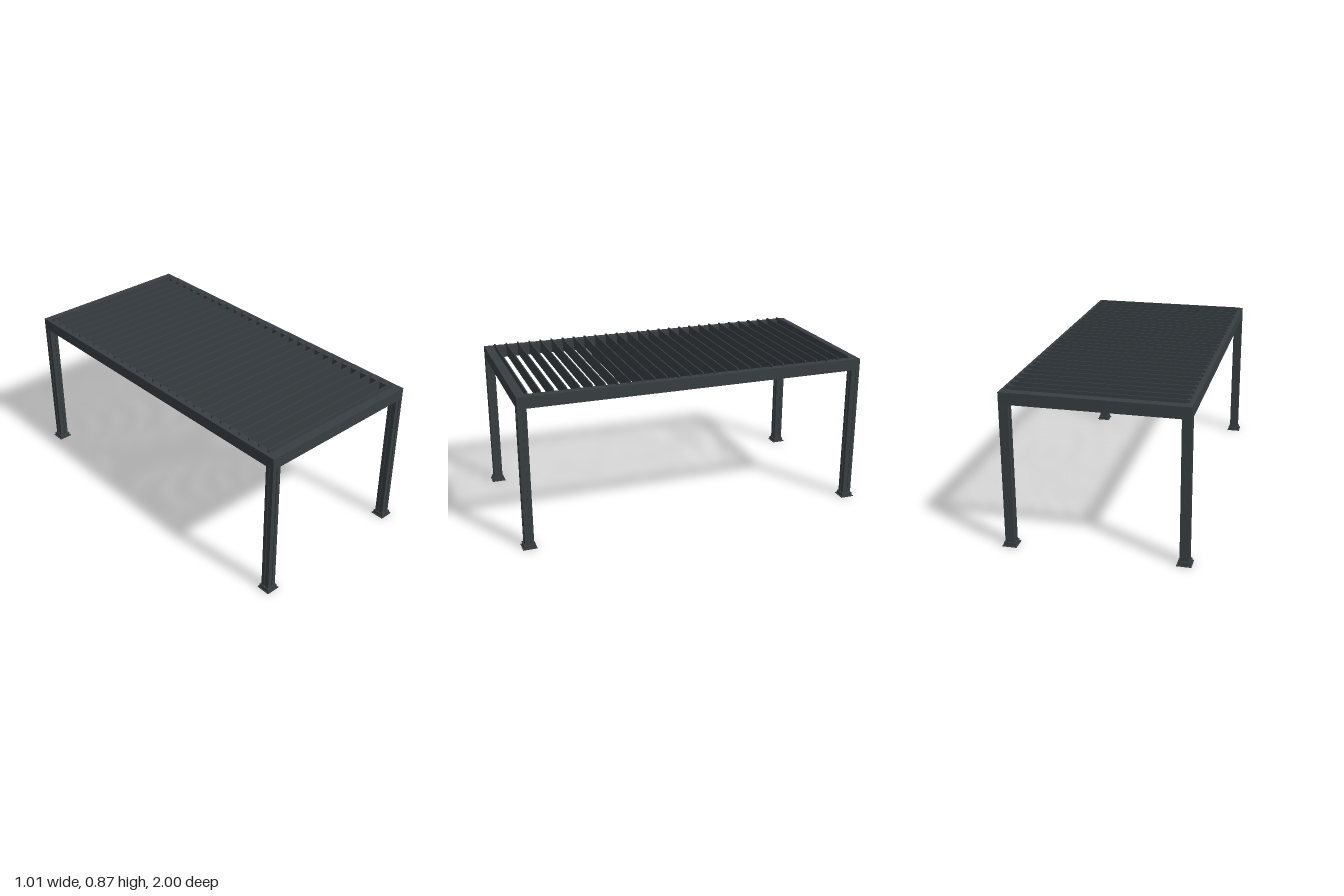
import * as THREE from 'three';

const frameMat = new THREE.MeshStandardMaterial({ color: 0x383e42 });

function box(name, w, h, d, x, y, z) {
  const mesh = new THREE.Mesh(new THREE.BoxGeometry(w, h, d), frameMat);
  mesh.name = name;
  mesh.position.set(x, y, z);
  return mesh;
}

// Square section with a narrow slot down the middle of each face
function slottedSquare(half, slot, depth) {
  const side = [[-half, -half], [-slot, -half], [-slot, depth - half], [slot, depth - half], [slot, -half]];
  const points = [];
  for (let i = 0; i < 4; i++) {
    for (const [x, y] of side) {
      points.push(new THREE.Vector2(x, y).rotateAround(new THREE.Vector2(), i * Math.PI / 2));
    }
  }
  return new THREE.Shape(points);
}

// Upright blade with rounded upper corners
function bladeShape(halfWidth, bottom, top, r) {
  const s = new THREE.Shape();
  s.moveTo(-halfWidth, bottom);
  s.lineTo(halfWidth, bottom);
  s.lineTo(halfWidth, top - r);
  s.quadraticCurveTo(halfWidth, top, halfWidth - r, top);
  s.lineTo(-halfWidth + r, top);
  s.quadraticCurveTo(-halfWidth, top, -halfWidth, top - r);
  s.closePath();
  return s;
}

export function createModel() {
  const model = new THREE.Group();
  model.name = 'louvredPergola';
  const px = 0.466, pz = 0.961, half = 0.025;
  const beamBottom = 0.793, beamTop = 0.857;
  const beamH = beamTop - beamBottom, beamY = (beamTop + beamBottom) / 2;

  // Four grooved posts, each with a sleeve and a foot plate
  const postGeo = new THREE.ExtrudeGeometry(slottedSquare(half, 0.004, 0.004), { depth: beamBottom, bevelEnabled: false });
  postGeo.rotateX(-Math.PI / 2);
  for (const sx of [-1, 1]) {
    for (const sz of [-1, 1]) {
      const leg = new THREE.Group();
      leg.name = 'cornerPost';
      const post = new THREE.Mesh(postGeo, frameMat);
      post.name = 'post';
      leg.add(
        post,
        box('footSleeve', 0.064, 0.018, 0.064, 0, 0.012, 0),
        box('footPlate', 0.078, 0.004, 0.078, 0, 0.002, 0)
      );
      leg.position.set(sx * px, 0, sz * pz);
      model.add(leg);
    }
  }

  // Perimeter beams with a slim inner gutter ledge
  for (const s of [-1, 1]) {
    model.add(
      box('endBeam', 2 * (px + half), beamH, 2 * half, 0, beamY, s * pz),
      box('sideBeam', 2 * half - 0.006, beamH, 2 * (pz - half), s * (px + 0.003), beamY, 0),
      box('endLedge', 2 * (px - half), 0.006, 0.014, 0, beamBottom + 0.004, s * (pz - half - 0.006)),
      box('sideLedge', 0.008, 0.006, 2 * (pz - half), s * (px - half + 0.003), beamBottom + 0.004, 0)
    );
  }

  // Row of open louvre blades with end caps
  const count = 28, span = 1.85, thick = 0.007;
  const bladeGeo = new THREE.ExtrudeGeometry(bladeShape(0.468, 0.803, 0.873, 0.008), { depth: thick, bevelEnabled: false, curveSegments: 5 });
  bladeGeo.translate(0, 0, -thick / 2);
  for (let i = 0; i < count; i++) {
    const louvre = new THREE.Group();
    louvre.name = 'louvre';
    const blade = new THREE.Mesh(bladeGeo, frameMat);
    blade.name = 'blade';
    louvre.add(blade);
    for (const s of [-1, 1]) louvre.add(box('bladeEndCap', 0.012, 0.058, 0.01, s * 0.459, 0.835, 0));
    louvre.position.z = -span / 2 + (span * i) / (count - 1);
    model.add(louvre);
  }
  return model;
}
